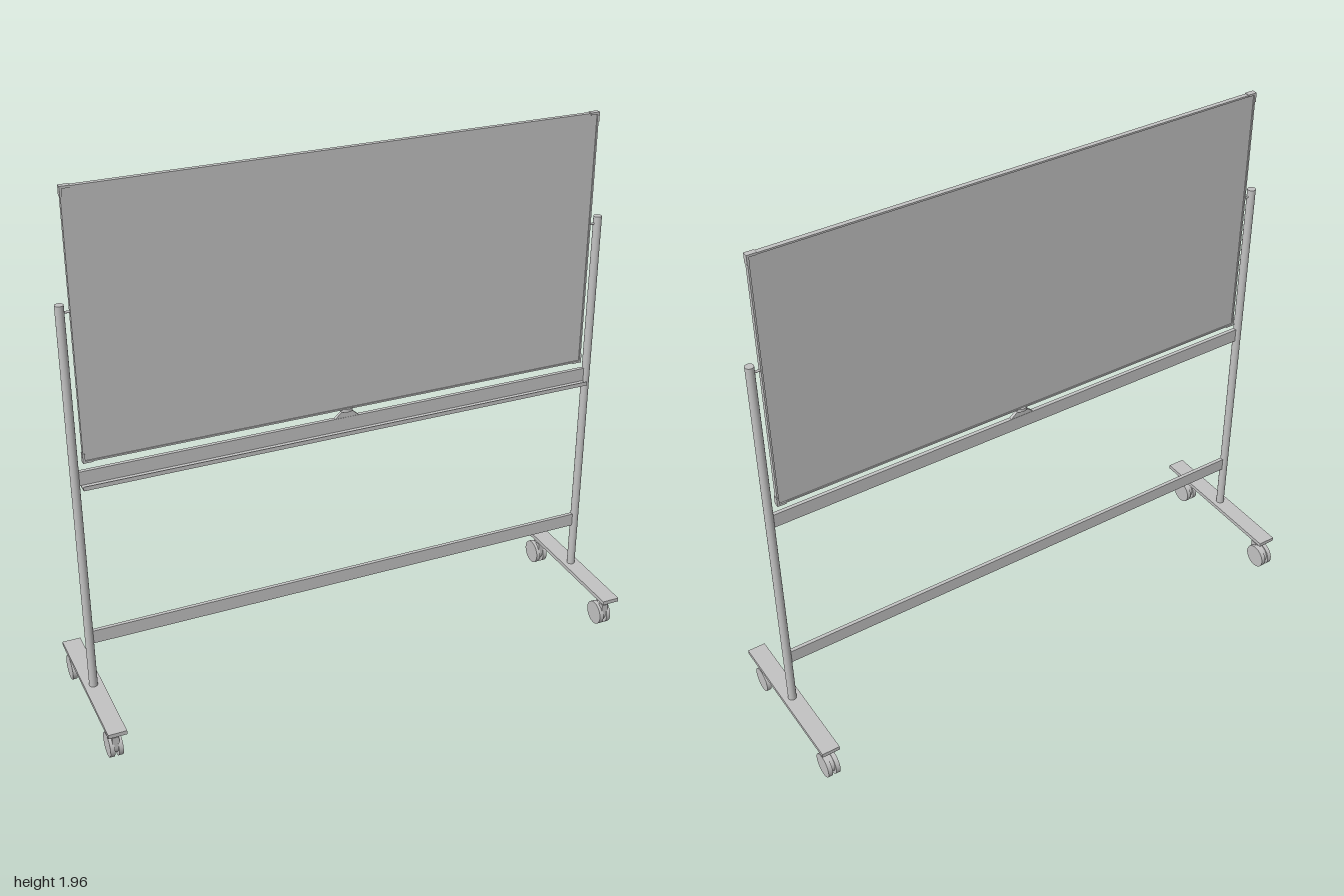
import * as THREE from 'three';

const Z = 0.004; // plane of the posts and board

export function createModel() {
  const model = new THREE.Group();
  model.name = 'mobileBoard';
  const metal = new THREE.MeshStandardMaterial({ color: 0xc2c2c2 });
  metal.name = 'lightGrey';

  const add = (parent, name, geometry, x, y, z) => {
    const mesh = new THREE.Mesh(geometry, metal);
    mesh.name = name;
    mesh.position.set(x, y, z);
    parent.add(mesh);
    return mesh;
  };
  const box = (parent, name, w, h, d, x, y, z) =>
    add(parent, name, new THREE.BoxGeometry(w, h, d), x, y, z);

  // Tilting board: recessed panel, thin frame and corner caps
  const board = new THREE.Group();
  board.name = 'board';
  board.position.set(0, 1.49, Z);
  model.add(board);
  const hw = 0.935, hh = 0.468, rim = 0.006;
  box(board, 'panel', 2 * hw - 0.004, 2 * hh - 0.004, 0.01, 0, 0, 0);
  for (const s of [-1, 1]) {
    box(board, 'frameRail', 2 * hw, rim, 0.017, 0, s * (hh - rim / 2), 0);
    box(board, 'frameSide', rim, 2 * hh, 0.017, s * (hw - rim / 2), 0, 0);
    for (const t of [-1, 1]) {
      box(board, 'cornerCap', 0.034, 0.008, 0.02, s * (hw - 0.015), t * (hh - 0.002), 0);
      box(board, 'cornerCap', 0.008, 0.034, 0.02, s * (hw - 0.002), t * (hh - 0.015), 0);
    }
  }

  // Crossbars between the posts
  box(model, 'upperCrossbar', 1.91, 0.052, 0.014, 0, 0.965, Z);
  box(model, 'lowerCrossbar', 1.91, 0.05, 0.014, 0, 0.341, Z);

  // Pen tray with a raised front lip
  box(model, 'trayFloor', 1.9, 0.004, 0.036, 0, 0.939, Z + 0.022);
  box(model, 'trayLip', 1.9, 0.015, 0.003, 0, 0.9445, Z + 0.0395);

  // Central latch below the board
  const wedge = new THREE.Shape([[-0.046, 0], [0.046, 0], [0.018, 0.024], [-0.018, 0.024]]
    .map(([x, y]) => new THREE.Vector2(x, y)));
  const latch = new THREE.ExtrudeGeometry(wedge, { depth: 0.012, bevelEnabled: false });
  add(model, 'latchBase', latch, 0, 0.99, Z - 0.006);
  const knob = add(model, 'latchKnob', new THREE.CylinderGeometry(0.022, 0.022, 0.012, 32), 0, 1.02, Z);
  knob.scale.z = 0.75;

  // Twin-wheel caster; the wheels trail behind the swivel stem
  const addCaster = (x, z) => {
    const caster = new THREE.Group();
    caster.name = 'caster';
    caster.position.set(x, 0, z);
    model.add(caster);
    add(caster, 'stem', new THREE.CylinderGeometry(0.01, 0.01, 0.05, 20), 0, 0.103, 0);
    box(caster, 'stemHousing', 0.024, 0.045, 0.024, 0, 0.073, 0);
    const fender = add(caster, 'fender',
      new THREE.CylinderGeometry(0.036, 0.036, 0.014, 28), 0, 0.05, -0.026);
    fender.rotation.z = Math.PI / 2;
    for (const s of [-1, 1]) {
      const wheel = add(caster, 'wheel',
        new THREE.CylinderGeometry(0.045, 0.045, 0.016, 32), s * 0.015, 0.045, -0.026);
      wheel.rotation.z = Math.PI / 2;
    }
  };

  // Posts, pivots, feet and casters on both sides
  for (const s of [-1, 1]) {
    const x = s * 0.967;
    add(model, 'post', new THREE.CylinderGeometry(0.015, 0.015, 1.445, 28), x, 0.8575, Z);
    const pivot = add(model, 'pivot', new THREE.CylinderGeometry(0.004, 0.004, 0.035, 16), s * 0.945, 1.553, Z);
    pivot.rotation.z = Math.PI / 2;
    box(model, 'foot', 0.066, 0.015, 0.582, x, 0.1325, Z);
    for (const z of [0.249, -0.228]) addCaster(x, z);
  }
  return model;
}
